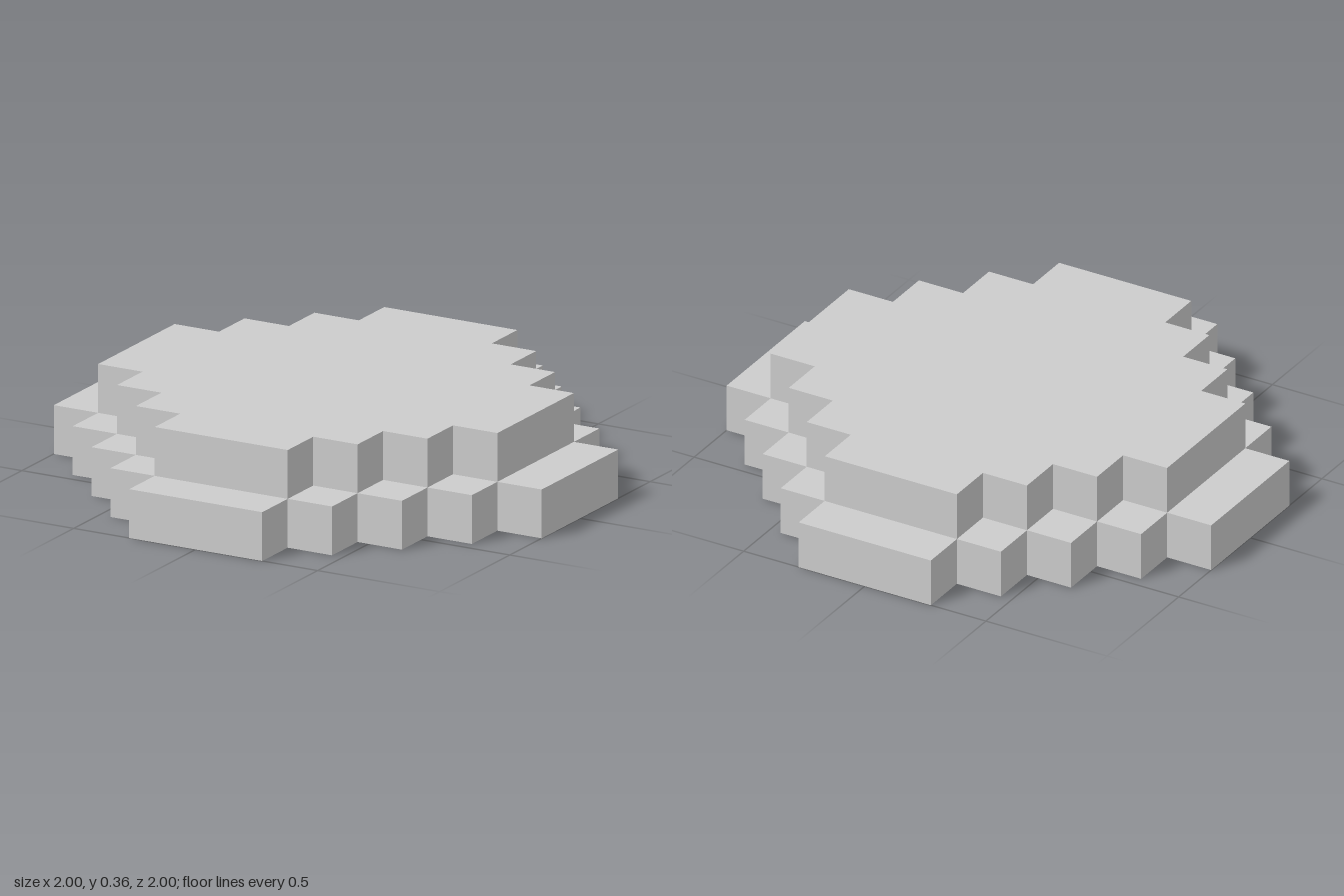
import * as THREE from 'three';

const U = 2 / 11; // one block
const material = new THREE.MeshStandardMaterial({ color: 0xcccccc, flatShading: true });

// Stepped round outline: one quadrant of stairs, turned four times
function steppedOutline(reach) {
  const quadrant = [];
  for (let x = reach, y = 1.5; x >= 1.5; x--, y++) {
    quadrant.push([x, y]);
    if (x > 1.5) quadrant.push([x - 1, y]);
  }
  const points = [];
  for (let q = 0; q < 4; q++) {
    for (const [x, y] of quadrant) {
      points.push(new THREE.Vector2(x * U, y * U).rotateAround(new THREE.Vector2(), q * Math.PI / 2));
    }
  }
  return new THREE.Shape(points);
}

// One block-high layer standing on the given level
function layer(name, reach, level) {
  const geometry = new THREE.ExtrudeGeometry(steppedOutline(reach), { depth: U, bevelEnabled: false });
  geometry.rotateX(-Math.PI / 2);
  const mesh = new THREE.Mesh(geometry, material);
  mesh.name = name;
  mesh.position.y = level * U;
  return mesh;
}

export function createModel() {
  const model = new THREE.Group();
  model.name = 'steppedPlatform';
  model.add(layer('lowerLayer', 5.5, 0), layer('upperLayer', 4.5, 1));
  return model;
}
